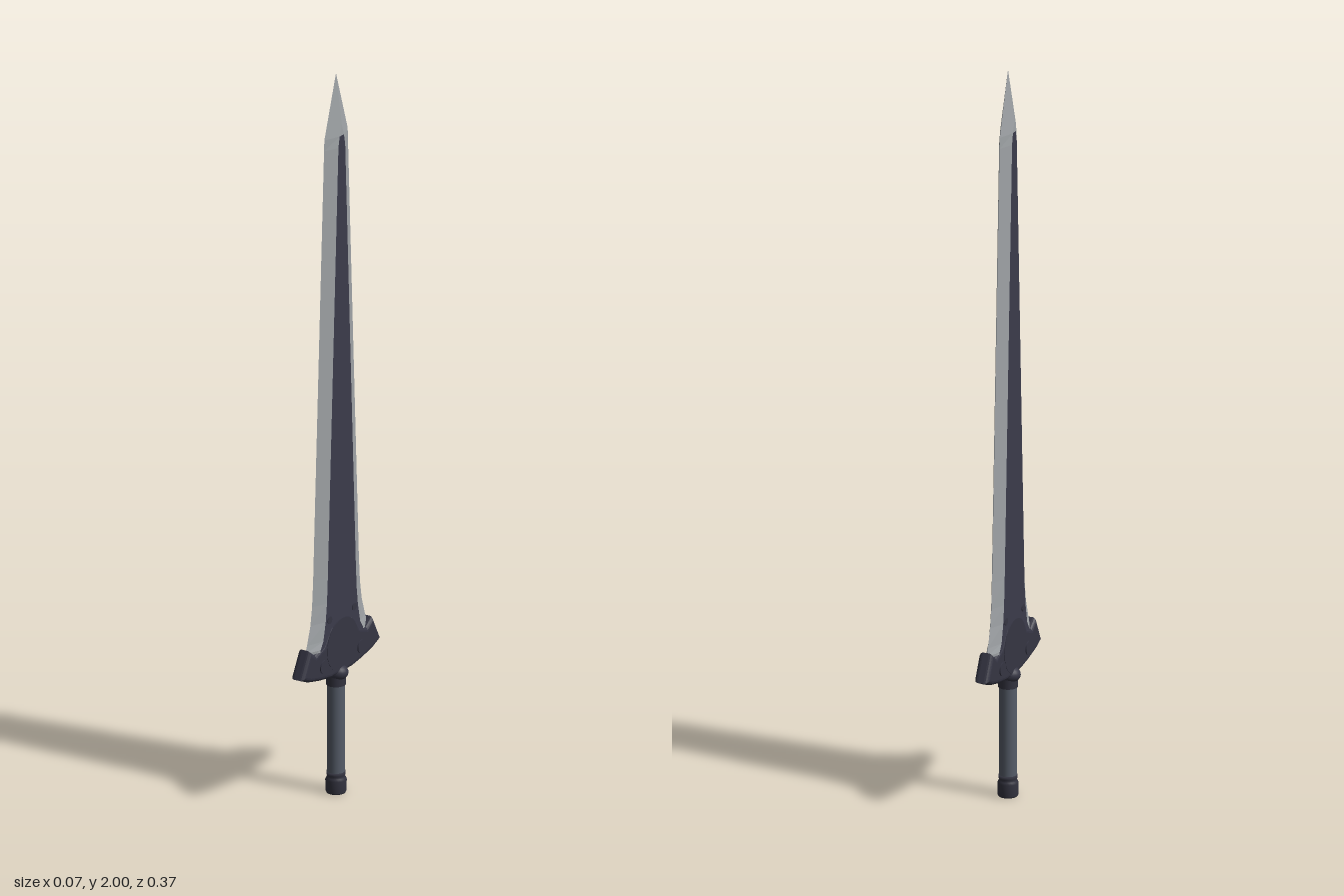
import * as THREE from 'three';

const mat = (name, color) => new THREE.MeshStandardMaterial({ name, color });

export function createModel() {
  const steel = mat('steel', 0xa0a4a7);
  const dark = mat('darkPanel', 0x3b3b4b);
  const guardMat = mat('guardMetal', 0x353543);
  const gripMat = mat('grip', 0x565d69);
  const pommelMat = mat('pommelMetal', 0x33333f);
  const model = new THREE.Group();
  model.name = 'sword';
  const add = (name, geometry, material, x = 0, y = 0, z = 0) => {
    const mesh = new THREE.Mesh(geometry, material);
    mesh.name = name;
    mesh.position.set(x, y, z);
    model.add(mesh);
    return mesh;
  };

  // Blade cross-sections: height, edge half-width, panel half-width, half-thickness
  const rows = [
    [0.41, 0.142, 0.105, 0.018], [0.43, 0.146, 0.1, 0.018], [0.45, 0.137, 0.087, 0.018],
    [0.5, 0.121, 0.076, 0.018], [0.55, 0.113, 0.07, 0.018], [0.62, 0.108, 0.066, 0.018],
    [1.8, 0.0565, 0.016, 0.018], [1.83, 0.055, 0.01, 0.018], [1.86, 0.0453, 0, 0.018], [2, 0, 0, 0],
  ];
  const loops = rows.map(([y, w, p, t]) =>
    [[0, w], [t, p], [t, -p], [0, -w], [-t, -p], [-t, p]].map(([x, z]) => [x, y, z]));
  const bladeFaces = (isPanel) => {
    const pos = [];
    for (let r = 0; r < loops.length - 1; r++) {
      for (let i = 0; i < 6; i++) {
        const flat = i === 1 || i === 4;
        if ((flat && r < 7) !== isPanel) continue;
        const j = (i + 1) % 6;
        const [a, b, c, d] = [loops[r][i], loops[r][j], loops[r + 1][j], loops[r + 1][i]];
        if (r < 8 && !(flat && r === 7)) pos.push(...a, ...b, ...c, ...a, ...c, ...d);
        else if (!(flat && r === 8)) pos.push(...a, ...b, ...c);
      }
    }
    const g = new THREE.BufferGeometry();
    g.setAttribute('position', new THREE.Float32BufferAttribute(pos, 3));
    g.computeVertexNormals();
    return g;
  };
  add('bladeEdges', bladeFaces(false), steel);
  add('bladePanels', bladeFaces(true), dark);

  // Winged crossguard with rounded rims, drawn in the z-y plane
  const half = [[0.05, 0.48], [0.085, 0.435], [0.12, 0.422], [0.148, 0.442], [0.186, 0.371], [0.15, 0.355], [0.1, 0.343], [0.05, 0.335]];
  const outline = [...half, ...half.map(([z, y]) => [-z, y]).reverse()];
  const guardShape = new THREE.Shape(outline.map(([z, y]) => new THREE.Vector2(z, y)));
  const guard = new THREE.ExtrudeGeometry(guardShape, {
    depth: 0.016, bevelThickness: 0.012, bevelSize: 0.012, bevelOffset: -0.012, bevelSegments: 4,
  });
  guard.translate(0, 0, -0.008);
  guard.rotateY(-Math.PI / 2);
  add('crossguard', guard, guardMat);

  // Round boss and rivets passing through the guard
  const stud = (name, radius, length, y, z) =>
    add(name, new THREE.CylinderGeometry(radius, radius, length, 28).rotateZ(Math.PI / 2), guardMat, 0, y, z);
  stud('centreBoss', 0.073, 0.042, 0.415, 0);
  for (const s of [-1, 1]) {
    stud('guardRivet', 0.018, 0.046, 0.38, s * 0.088);
    stud('panelRivet', 0.01, 0.04, 0.5, s * 0.058);
  }

  // Collar, grip and pommel
  const collar = add('collar', new THREE.SphereGeometry(1, 24, 16), guardMat, 0, 0.335, 0);
  collar.scale.set(0.034, 0.024, 0.028);
  add('gripNeck', new THREE.CylinderGeometry(0.026, 0.026, 0.03, 24), pommelMat, 0, 0.315, 0);
  add('gripShaft', new THREE.CylinderGeometry(0.023, 0.023, 0.27, 24), gripMat, 0, 0.175, 0);
  const profile = [[0, 0], [0.025, 0], [0.027, 0.004], [0.028, 0.036], [0.025, 0.042], [0.023, 0.046], [0.025, 0.05], [0.025, 0.058], [0, 0.058]];
  add('pommel', new THREE.LatheGeometry(profile.map(([x, y]) => new THREE.Vector2(x, y)), 24), pommelMat);
  return model;
}
